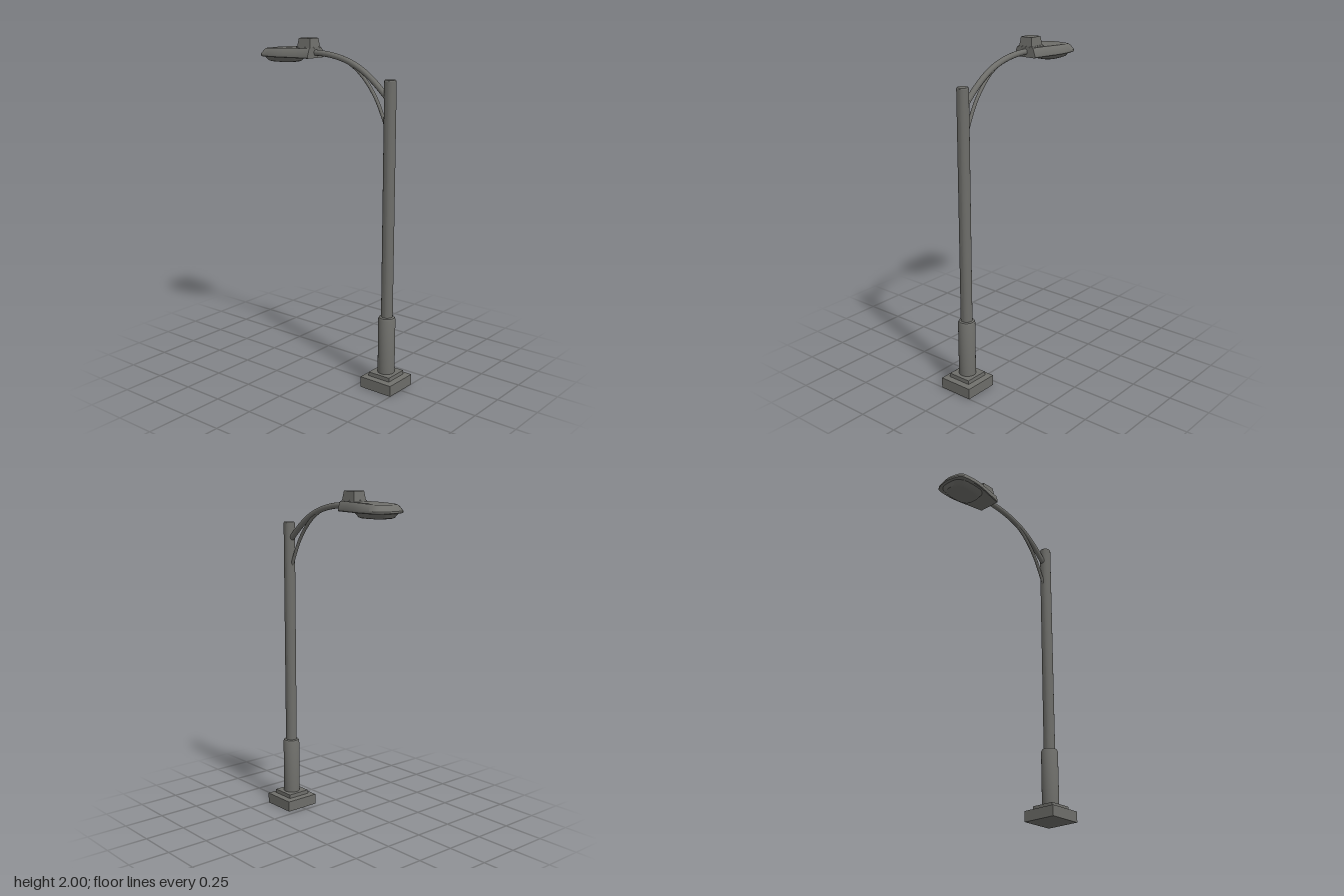
import * as THREE from 'three';
import { toCreasedNormals } from 'three/addons/utils/BufferGeometryUtils.js';

const POLE_X = 0.393;

// Closed solid from rings of [x, y, z], bottom to top, counterclockwise seen from above
function loft(rings, crease = 0.5) {
  const pos = [], index = [], n = rings[0].length;
  rings.forEach(ring => ring.forEach(p => pos.push(...p)));
  for (let r = 0; r < rings.length - 1; r++) {
    for (let i = 0; i < n; i++) {
      const a = r * n + i, b = r * n + (i + 1) % n;
      index.push(a, b, b + n, a, b + n, a + n);
    }
  }
  [0, rings.length - 1].forEach((r, top) => {
    const c = pos.length / 3;
    pos.push(...[0, 1, 2].map(k => rings[r].reduce((s, p) => s + p[k], 0) / n));
    for (let i = 0; i < n; i++) {
      const a = r * n + i, b = r * n + (i + 1) % n;
      if (top) index.push(c, a, b); else index.push(c, b, a);
    }
  });
  const g = new THREE.BufferGeometry();
  g.setAttribute('position', new THREE.Float32BufferAttribute(pos, 3));
  g.setIndex(index);
  return toCreasedNormals(g, crease);
}

// Rectangular ring from x0 to x1, half depth h
const rect = (x0, x1, y, h) => [[x1, y, h], [x1, y, -h], [x0, y, -h], [x0, y, h]];

// Half outline of the lamp head, from the arm to the rounded tip
const HALF = [
  [-0.137, 0.071], [-0.22, 0.088], [-0.3, 0.105], [-0.34, 0.111], [-0.38, 0.113], [-0.43, 0.111],
  [-0.46, 0.107], [-0.475, 0.1], [-0.487, 0.085], [-0.497, 0.055], [-0.503, 0.025], [-0.505, 0],
];

// Lamp ring: tip pulled in, sides narrowed, height running from arm end to tip
function headRing(tipIn, narrow, yArm, yTip) {
  const side = HALF.map(([x, z]) => {
    const t = (-0.137 - x) / 0.368;
    return [x + tipIn * t * t, yArm + (yTip - yArm) * t * t, -z * narrow];
  });
  const back = side.slice(0, -1).reverse().map(([x, y, z]) => [x, y, -z]);
  return [...side, ...back];
}

// Rounded lens ring
function lensRing(halfX, halfZ, y) {
  return Array.from({ length: 32 }, (_, i) => {
    const t = i / 32 * Math.PI * 2, c = Math.cos(t), s = Math.sin(t);
    return [-0.372 + halfX * Math.sign(c) * Math.abs(c) ** 0.65, y,
      -halfZ * Math.sign(s) * Math.abs(s) ** 0.65];
  });
}

export function createModel() {
  const metal = new THREE.MeshStandardMaterial({ color: 0x6e6e6a });
  metal.name = 'grey metal';
  const model = new THREE.Group();
  model.name = 'streetLamp';
  const add = (name, geometry) => {
    const mesh = new THREE.Mesh(geometry, metal);
    mesh.name = name;
    model.add(mesh);
    return mesh;
  };
  const square = (y, h) => rect(POLE_X - h, POLE_X + h, y, h);
  const tube = (name, pts, radius) => add(name, new THREE.TubeGeometry(
    new THREE.CatmullRomCurve3(pts.map(([x, y]) => new THREE.Vector3(x, y, 0))), 32, radius, 12));

  // Square stepped foot
  add('foot', loft([square(0, 0.107), square(0.064, 0.107), square(0.069, 0.073), square(0.092, 0.072)], 0.05));

  // Sleeve and pole turned as one profile
  const profile = [[0, 0.09], [0.05, 0.09], [0.05, 0.42], [0.045, 0.432], [0.034, 0.436],
    [0.034, 1.794], [0.03, 1.8], [0, 1.8]].map(p => new THREE.Vector2(...p));
  add('pole', toCreasedNormals(new THREE.LatheGeometry(profile, 24), 0.5)).position.x = POLE_X;

  // Curved arm and its brace
  tube('arm', [[-0.17, 1.918], [-0.1, 1.918], [0, 1.908], [0.1, 1.884], [0.19, 1.845], [0.28, 1.784], [0.39, 1.686]], 0.017);
  tube('brace', [[0.11, 1.873], [0.17, 1.835], [0.24, 1.768], [0.3, 1.685], [0.34, 1.606], [0.375, 1.525]], 0.01);

  // Lamp head: rim, sloped sides, rounded shoulder and roof
  add('lampHead', loft([
    headRing(0.012, 0.95, 1.888, 1.886),
    headRing(0, 1, 1.892, 1.89),
    headRing(0, 1, 1.905, 1.9),
    headRing(0.018, 0.84, 1.937, 1.926),
    headRing(0.03, 0.76, 1.944, 1.933),
  ], 0.6));

  // Lens bulging below the head
  add('lens', loft([
    lensRing(0.085, 0.062, 1.858),
    lensRing(0.1, 0.074, 1.863),
    lensRing(0.119, 0.094, 1.889),
  ], 0.6));

  // Tapered sensor housing with a thin collar
  add('housingCollar', loft([rect(-0.246, -0.139, 1.935, 0.05), rect(-0.244, -0.139, 1.95, 0.048)], 0.1));
  add('housing', loft([rect(-0.24, -0.14, 1.945, 0.045), rect(-0.23, -0.148, 2, 0.038)], 0.1));

  return model;
}
